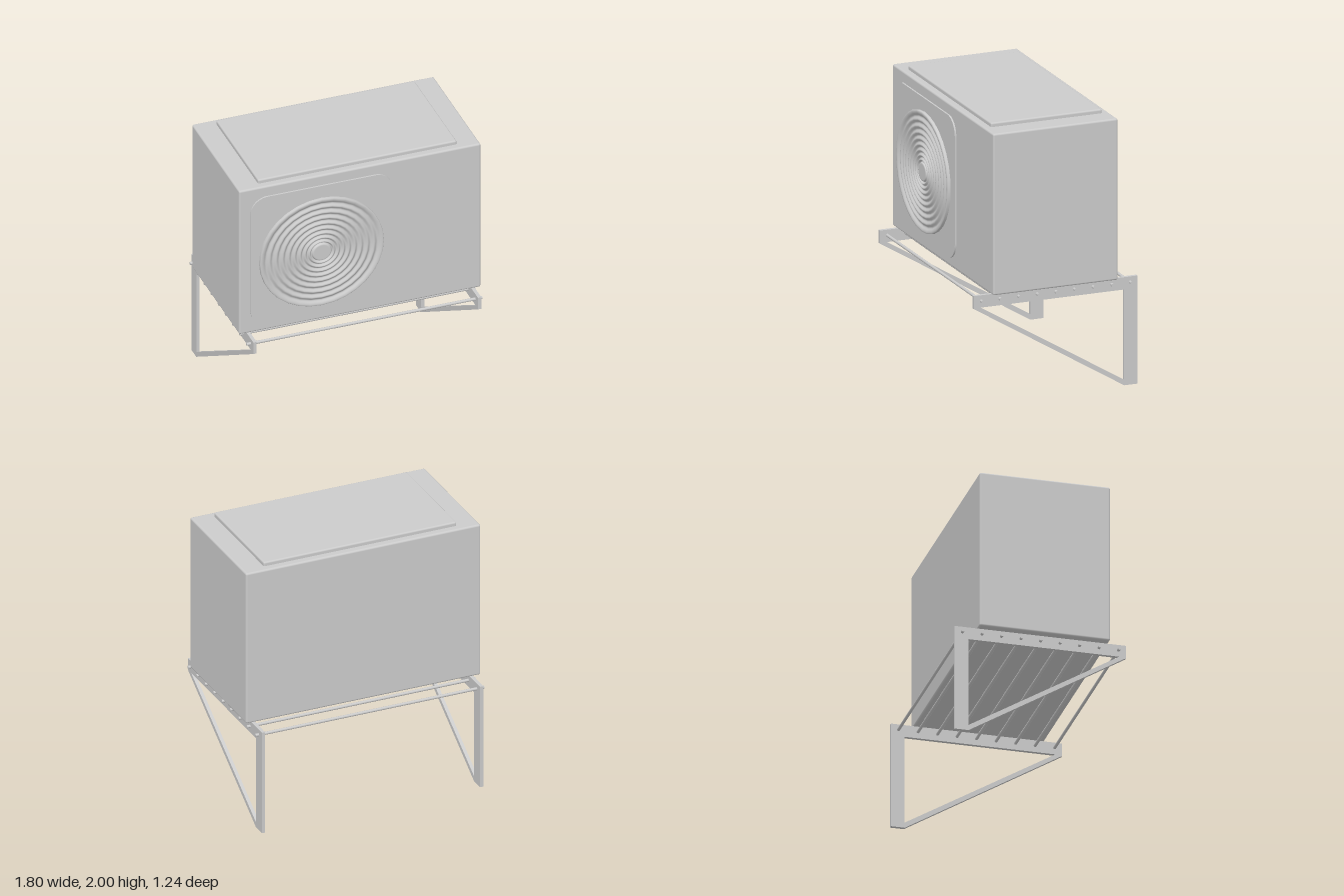
import * as THREE from 'three';
import { RoundedBoxGeometry } from 'three/addons/geometries/RoundedBoxGeometry.js';

const material = new THREE.MeshStandardMaterial({ color: 0xcccccc });

function add(parent, name, geometry, x = 0, y = 0, z = 0) {
  const mesh = new THREE.Mesh(geometry, material);
  mesh.name = name;
  mesh.position.set(x, y, z);
  parent.add(mesh);
  return mesh;
}

// Rounded rectangle centred on the origin
function roundedRect(w, h, r) {
  const s = new THREE.Shape(), x = w / 2 - r, y = h / 2 - r;
  s.absarc(x, y, r, 0, Math.PI / 2);
  s.absarc(-x, y, r, Math.PI / 2, Math.PI);
  s.absarc(-x, -y, r, Math.PI, Math.PI * 1.5);
  s.absarc(x, -y, r, Math.PI * 1.5, Math.PI * 2);
  s.closePath();
  return s;
}

// Rippled disc: outer rim, concentric rings that tighten inward, flat hub
function grilleGeometry() {
  const pts = [[0.45, 0], [0.45, 0.02], [0.446, 0.025], [0.436, 0.025]];
  const rings = 9, steps = 8, outer = 0.43, inner = 0.065;
  for (let i = 0; i <= rings * steps; i++) {
    const t = i / (rings * steps);
    const r = inner + (outer - inner) * Math.pow(1 - t, 1.25);
    pts.push([r, 0.016 + 0.007 * Math.cos(t * rings * Math.PI * 2)]);
  }
  pts.push([0.06, 0.024], [0.055, 0.024], [0, 0.024]);
  const g = new THREE.LatheGeometry(pts.map(p => new THREE.Vector2(...p)), 32);
  g.rotateX(Math.PI / 2);
  g.scale(1.028, 0.972, 1);
  return g;
}

// Side profile of a wall bracket, drawn in (z, y) with a triangular opening
function bracketGeometry(thickness) {
  const s = new THREE.Shape([
    [-0.62, 0], [-0.52, 0], [0.62, 0.695], [0.62, 0.79], [-0.62, 0.79],
  ].map(p => new THREE.Vector2(...p)));
  s.holes.push(new THREE.Path([
    [-0.52, 0.04], [-0.52, 0.7], [0.57, 0.7],
  ].map(p => new THREE.Vector2(...p))));
  const g = new THREE.ExtrudeGeometry(s, { depth: thickness, bevelEnabled: false });
  g.translate(0, 0, -thickness / 2);
  g.rotateY(-Math.PI / 2);
  return g;
}

export function createModel() {
  const model = new THREE.Group();
  model.name = 'outdoorAirConditioner';

  // Cabinet and raised lid
  add(model, 'cabinet', new RoundedBoxGeometry(1.8, 1.18, 0.945, 3, 0.014), 0, 1.38, 0.0185);
  add(model, 'lid', new RoundedBoxGeometry(1.48, 0.05, 0.84, 3, 0.012), 0, 1.975, 0.02);

  // Front panel carrying the fan grille
  const panel = new THREE.ExtrudeGeometry(roundedRect(1.06, 1.04, 0.13),
    { depth: 0.015, bevelEnabled: false, curveSegments: 10 });
  add(model, 'frontPanel', panel, -0.29, 1.37, 0.488);
  add(model, 'fanGrille', grilleGeometry(), -0.295, 1.357, 0.501);

  // Wall brackets
  const bracket = bracketGeometry(0.025);
  add(model, 'rightBracket', bracket, -0.83);
  add(model, 'leftBracket', bracket, 0.843);

  // Support rods running through both brackets
  const rod = new THREE.CylinderGeometry(0.011, 0.011, 1.755, 12);
  rod.rotateZ(Math.PI / 2);
  const rods = new THREE.Group();
  rods.name = 'supportRods';
  model.add(rods);
  const count = 9;
  for (let i = 0; i < count; i++) {
    add(rods, 'supportRod', rod, 0.004, 0.75, -0.565 + 1.13 * i / (count - 1));
  }
  return model;
}
